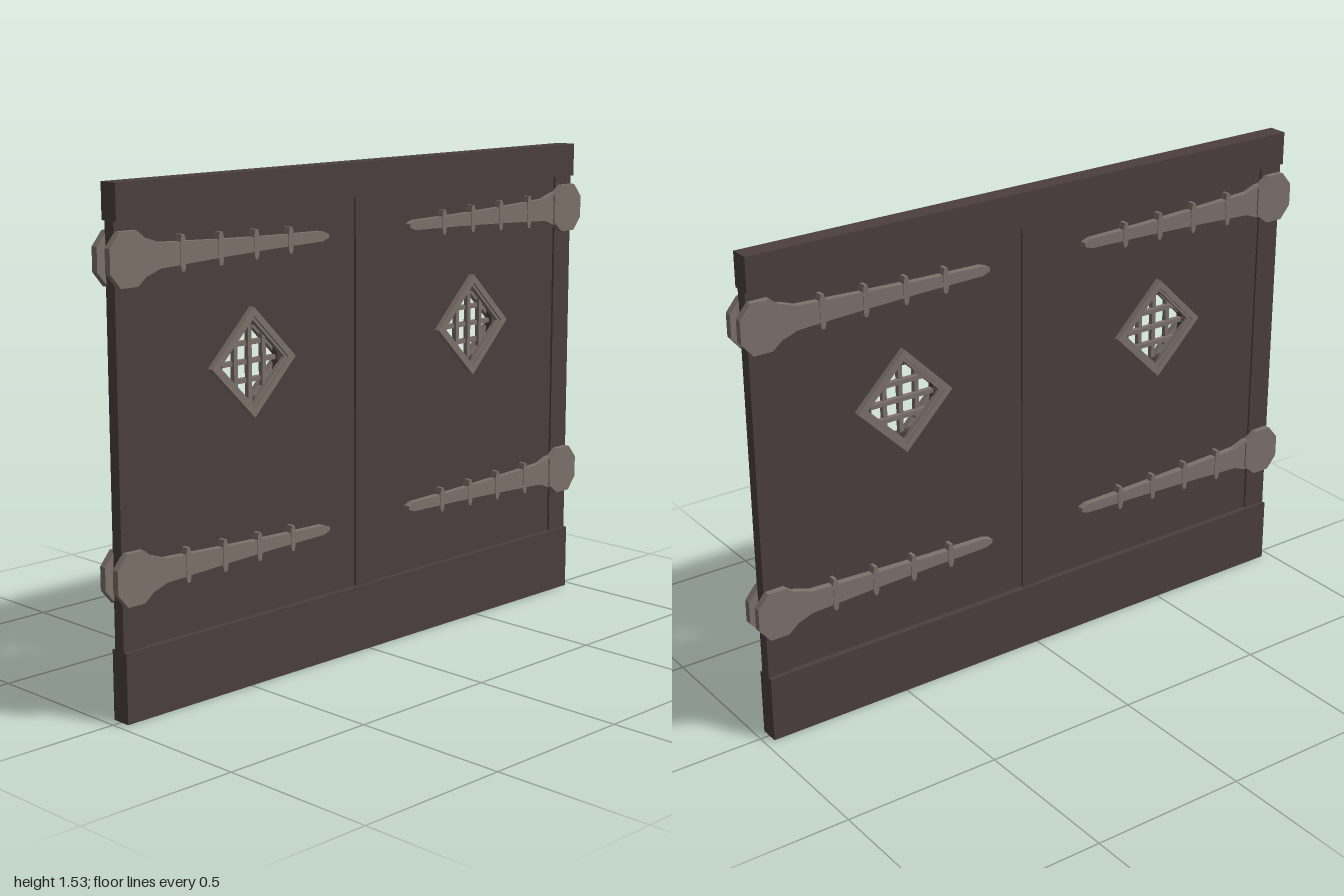
import * as THREE from 'three';

const wood = new THREE.MeshStandardMaterial({ color: 0x4b3f3f });
wood.name = 'dark wood';
const iron = new THREE.MeshStandardMaterial({ color: 0x7d726b });
iron.name = 'grey iron';

function add(parent, name, geometry, material, x = 0, y = 0, z = 0) {
  const mesh = new THREE.Mesh(geometry, material);
  mesh.name = name;
  mesh.position.set(x, y, z);
  parent.add(mesh);
  return mesh;
}

const box = (w, h, d) => new THREE.BoxGeometry(w, h, d);
const points = (list) => list.map(([x, y]) => new THREE.Vector2(x, y));
const diamond = (r) => points([[r, 0], [0, r], [-r, 0], [0, -r]]);

// Extrudes an outline from z0 to z1
function slab(outline, z0, z1, holes = []) {
  const shape = new THREE.Shape(outline);
  holes.forEach((hole) => shape.holes.push(new THREE.Path(hole)));
  const geometry = new THREE.ExtrudeGeometry(shape, { depth: z1 - z0, bevelEnabled: false });
  return geometry.translate(0, 0, z0);
}

// Mirrors the upper half of an outline below the x axis
function symmetric(upper) {
  const lower = upper.filter(([, y]) => y > 0).map(([x, y]) => [x, -y]).reverse();
  return points([...upper, ...lower]);
}

const WINDOW_X = 0.475, WINDOW_Y = 0.975;

// Diamond window: stepped frame on both faces and a straight lattice between
function makeWindow(x) {
  const group = new THREE.Group();
  group.name = 'window';
  group.position.set(x, WINDOW_Y, 0);
  for (const side of [1, -1]) {
    const face = new THREE.Group();
    face.name = 'windowFrame';
    if (side < 0) face.rotation.y = Math.PI;
    add(face, 'outerFrame', slab(diamond(0.163), 0.01, 0.032, [diamond(0.136)]), iron);
    add(face, 'innerFrame', slab(diamond(0.137), 0.008, 0.025, [diamond(0.125)]), iron);
    group.add(face);
  }
  for (const offset of [-0.055, 0, 0.055]) {
    const length = 2 * (0.132 - Math.abs(offset));
    add(group, 'latticeUpright', box(0.014, length, 0.016), iron, offset, 0, 0.004);
    add(group, 'latticeCrossbar', box(length, 0.014, 0.016), iron, 0, offset, -0.004);
  }
  return group;
}

// Strap hinge plate for one face, head at -x
function makeHinge() {
  const group = new THREE.Group();
  group.name = 'strapHinge';
  const head = symmetric([
    [-1, 0.035], [-0.965, 0.077], [-0.905, 0.077], [-0.865, 0.045],
  ]);
  const strap = symmetric([
    [-0.9, 0.055], [-0.865, 0.052], [-0.82, 0.036], [-0.6, 0.026],
    [-0.4, 0.019], [-0.2, 0.015], [-0.175, 0.006],
  ]);
  add(group, 'hingeHead', slab(head, 0.017, 0.039), iron);
  add(group, 'hingeStrap', slab(strap, 0.01, 0.034), iron);
  // Pointed ridges across the strap
  [[-0.74, 0.052], [-0.6, 0.048], [-0.465, 0.043], [-0.33, 0.039]].forEach(([x, h]) => {
    const ridge = symmetric([[-0.009, h - 0.014], [-0.005, h], [0.005, h], [0.009, h - 0.014]]);
    add(group, 'strapRidge', slab(ridge, 0.01, 0.036), iron, x);
  });
  return group;
}

export function createModel() {
  const model = new THREE.Group();
  model.name = 'doubleGate';

  // Thin panel with an octagonal opening behind each window
  const holes = [-WINDOW_X, WINDOW_X].map((x) => {
    const a = 0.107, b = 0.05;
    return points([[a, b], [b, a], [-b, a], [-a, b], [-a, -b], [-b, -a], [b, -a], [a, -b]]
      .map(([px, py]) => [px + x, py + WINDOW_Y]));
  });
  const outline = points([[-0.96, 0.1], [0.96, 0.1], [0.96, 1.48], [-0.96, 1.48]]);
  add(model, 'panel', slab(outline, -0.012, 0.012, holes), wood);

  // Rails and stiles
  add(model, 'bottomRail', box(1.94, 0.21, 0.062), wood, 0, 0.105);
  add(model, 'topRail', box(1.94, 0.105, 0.062), wood, 0, 1.475);
  for (const x of [-0.93, 0.93]) {
    add(model, 'sideStile', box(0.08, 1.24, 0.038), wood, x, 0.815);
  }
  add(model, 'centreStile', box(0.096, 1.24, 0.038), wood, 0, 0.815);

  model.add(makeWindow(-WINDOW_X), makeWindow(WINDOW_X));

  // Hinges on both edges, front and back
  for (const y of [0.422, 1.318]) {
    for (const edge of [0, Math.PI]) {
      for (const back of [0, Math.PI]) {
        const hinge = makeHinge();
        hinge.rotation.set(back, 0, edge);
        hinge.position.y = y;
        model.add(hinge);
      }
    }
  }
  return model;
}
